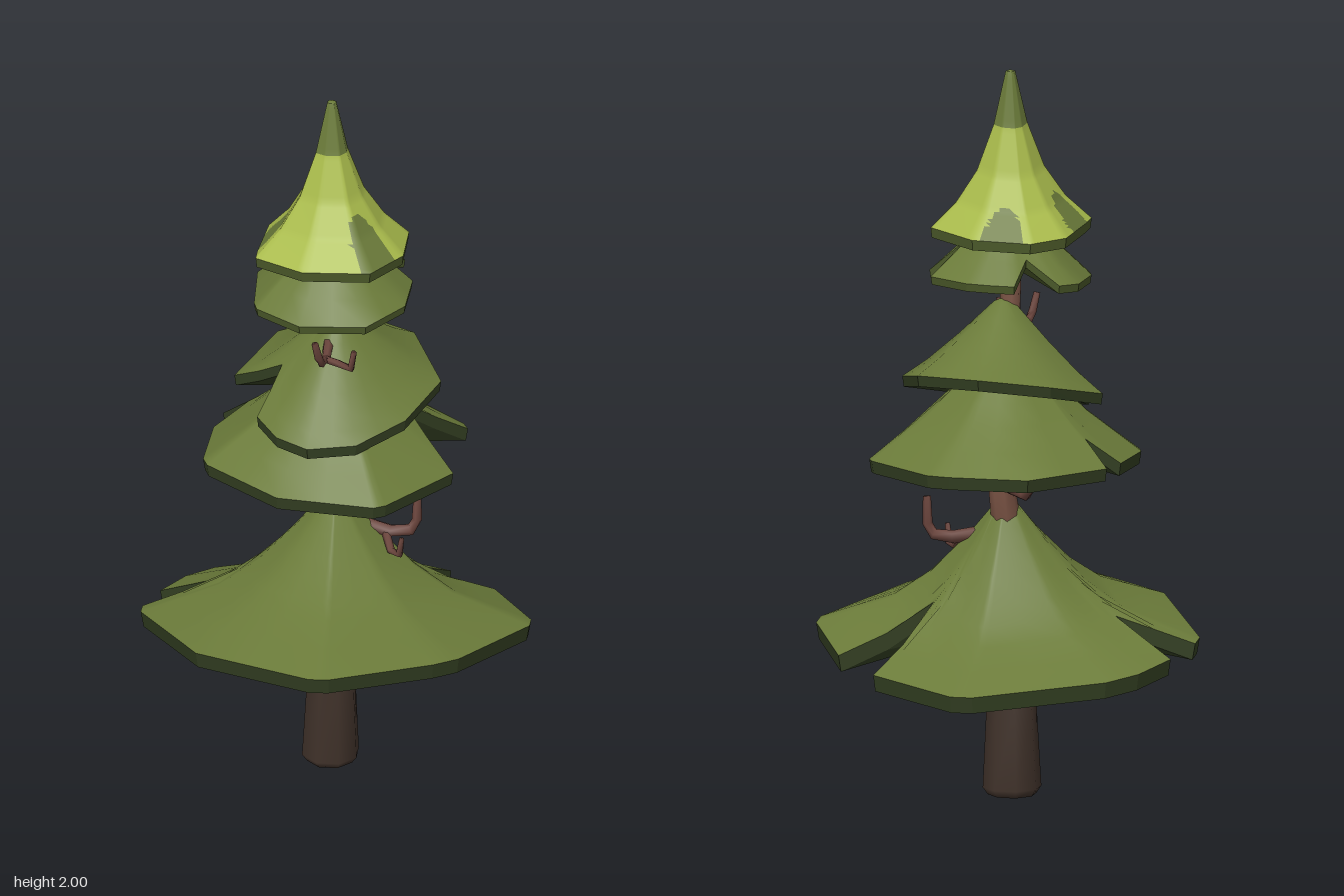
import * as THREE from 'three';

const mat = (name, color, side = THREE.FrontSide) => {
  const m = new THREE.MeshStandardMaterial({ color, side });
  m.name = name;
  return m;
};

// Piecewise-linear lookup in a [t, height] profile
function heightAt(profile, t) {
  for (let i = 1; i < profile.length; i++) {
    const [t0, h0] = profile[i - 1], [t1, h1] = profile[i];
    if (t <= t1) return h0 + (h1 - h0) * (t - t0) / (t1 - t0);
  }
  return 0;
}

// Insert n - 1 points between neighbours of a list of equal-length tuples
function subdivide(list, n, closed) {
  const out = [];
  const count = closed ? list.length : list.length - 1;
  for (let i = 0; i < count; i++) {
    const a = list[i], b = list[(i + 1) % list.length];
    for (let k = 0; k < n; k++) out.push(a.map((v, c) => v + (b[c] - v) * k / n));
  }
  if (!closed) out.push(list[list.length - 1]);
  return out;
}

// Foliage skirt: the outline is [x, z, reach]; reach < 1 marks the inner corner of a notch
function makeTier(name, o, topMaterials, underMaterial) {
  const group = new THREE.Group();
  group.name = name;
  const [cx, cz] = o.centre;
  const outline = subdivide(o.outline.map(([x, z, f = 1]) => [x, z, f]), o.fine, true);
  const rows = subdivide(o.profile, o.fine, false).map(p => p[0]);
  const n = outline.length;
  const point = (i, s) => {
    const [x, z, f] = outline[i % n];
    const fx = cx + (x - cx) / f, fz = cz + (z - cz) / f;
    const rim = o.rim + o.tilt[0] * fx + o.tilt[1] * fz;
    return [cx + (x - cx) * s, rim + (o.apex - rim) * heightAt(o.profile, s * f), cz + (z - cz) * s];
  };

  // Smooth upper surface, faces sorted by colour
  const pos = [], faces = topMaterials.map(() => []);
  for (const s of rows) for (let i = 0; i < n; i++) pos.push(...point(i, s));
  for (let j = 0; j < rows.length - 1; j++) {
    for (let i = 0; i < n; i++) {
      const a = j * n + i, d = j * n + (i + 1) % n, b = a + n, c = d + n;
      for (const tri of (j === 0 ? [[a, b, c]] : [[a, b, c], [a, c, d]])) {
        const mid = [0, 1, 2].map(k => tri.reduce((sum, v) => sum + pos[v * 3 + k], 0) / 3);
        faces[o.paint ? o.paint(...mid) : 0].push(...tri);
      }
    }
  }
  const top = new THREE.BufferGeometry();
  top.setAttribute('position', new THREE.Float32BufferAttribute(pos, 3));
  top.setIndex(faces.flat());
  let start = 0;
  faces.forEach((f, k) => { top.addGroup(start, f.length, k); start += f.length; });
  top.computeVertexNormals();
  const topMesh = new THREE.Mesh(top, topMaterials);
  topMesh.name = name + 'Needles';

  // Flat rim and underside
  const under = [];
  const lower = i => { const p = point(i, 0.985); p[1] = point(i, 1)[1] - o.thick; return p; };
  const hub = [cx, o.rim + (o.apex - o.rim) * 0.2 - o.thick, cz];
  for (let i = 0; i < n; i++) {
    const a = point(i, 1), d = point(i + 1, 1), b = lower(i), c = lower(i + 1);
    under.push(...a, ...b, ...c, ...a, ...c, ...d, ...c, ...b, ...hub);
  }
  const underGeo = new THREE.BufferGeometry();
  underGeo.setAttribute('position', new THREE.Float32BufferAttribute(under, 3));
  underGeo.computeVertexNormals();
  const underMesh = new THREE.Mesh(underGeo, underMaterial);
  underMesh.name = name + 'Underside';
  group.add(topMesh, underMesh);
  return group;
}

// Tapered limb through [x, y, z, radius] sections, closed at both ends
function makeLimb(name, sections, sides, material) {
  const pts = sections.map(s => new THREE.Vector3(s[0], s[1], s[2]));
  const pos = [], idx = [];
  const first = pts[1].clone().sub(pts[0]).normalize();
  const ref = Math.abs(first.z) < 0.8 ? new THREE.Vector3(0, 0, 1) : new THREE.Vector3(1, 0, 0);
  pts.forEach((p, j) => {
    const dir = pts[Math.min(j + 1, pts.length - 1)].clone().sub(pts[Math.max(j - 1, 0)]).normalize();
    const u = ref.clone().addScaledVector(dir, -ref.dot(dir)).normalize();
    const v = dir.clone().cross(u);
    for (let i = 0; i < sides; i++) {
      const a = (i + 0.5) / sides * Math.PI * 2, r = sections[j][3];
      pos.push(...p.clone().addScaledVector(u, Math.cos(a) * r).addScaledVector(v, Math.sin(a) * r).toArray());
    }
  });
  const last = (pts.length - 1) * sides;
  for (let i = 0; i < sides; i++) {
    const k = (i + 1) % sides;
    for (let j = 0; j < last; j += sides) idx.push(j + i, j + k, j + sides + k, j + i, j + sides + k, j + sides + i);
    if (i > 0 && i < sides - 1) idx.push(0, i + 1, i, last, last + i, last + i + 1);
  }
  const g = new THREE.BufferGeometry();
  g.setAttribute('position', new THREE.Float32BufferAttribute(pos, 3));
  g.setIndex(idx);
  g.computeVertexNormals();
  const mesh = new THREE.Mesh(g, material);
  mesh.name = name;
  return mesh;
}

export function createModel() {
  const tree = new THREE.Group();
  tree.name = 'pineTree';
  const leaf = mat('needleGreen', 0x6b7b3a, THREE.DoubleSide);
  const lime = mat('limeGreen', 0xaabc4c, THREE.DoubleSide);
  const shade = mat('deepGreen', 0x333f22);
  const rimGreen = mat('rimGreen', 0x4c5a2a);
  const darkBark = mat('darkBark', 0x40322a);
  const bark = mat('bark', 0x7a5344);
  const twig = mat('twigBrown', 0x6a443c);

  // Trunk
  tree.add(makeLimb('lowerTrunk', [
    [-0.015, 0, -0.015, 0.066], [-0.015, 0.02, -0.015, 0.08], [-0.012, 0.25, -0.015, 0.068],
    [-0.005, 0.45, -0.01, 0.052], [-0.01, 0.65, -0.025, 0.045]], 8, darkBark));
  tree.add(makeLimb('upperTrunk', [
    [-0.01, 0.64, -0.025, 0.043], [-0.02, 0.78, -0.04, 0.039], [-0.035, 0.9, -0.065, 0.035],
    [-0.01, 1.1, -0.03, 0.031], [-0.003, 1.4, -0.012, 0.028], [-0.003, 1.52, -0.012, 0.026]], 8, bark));

  // Bare branches
  const branches = {
    leftBackBranch: [[-0.01, 0.73, -0.04, 0.022], [0.1, 0.7, -0.13, 0.018], [0.138, 0.705, -0.17, 0.016], [0.146, 0.735, -0.185, 0.014], [0.146, 0.81, -0.187, 0.011]],
    leftBackTwig: [[0.09, 0.7, -0.12, 0.012], [0.14, 0.665, -0.1, 0.011], [0.175, 0.668, -0.1, 0.01], [0.185, 0.72, -0.1, 0.007]],
    rightBranch: [[-0.03, 0.885, -0.06, 0.022], [-0.08, 0.862, -0.062, 0.018], [-0.18, 0.86, -0.07, 0.016], [-0.2, 0.88, -0.07, 0.014], [-0.218, 0.93, -0.07, 0.011]],
    frontBranch: [[0, 1.3, 0, 0.016], [0.06, 1.275, 0.06, 0.013], [0.083, 1.278, 0.095, 0.012], [0.088, 1.3, 0.11, 0.011], [0.09, 1.35, 0.125, 0.009]],
    frontTwig: [[0.06, 1.275, 0.07, 0.011], [0.1, 1.272, 0.055, 0.011], [0.152, 1.275, 0.05, 0.01], [0.165, 1.33, 0.05, 0.008]],
  };
  for (const [name, s] of Object.entries(branches)) tree.add(makeLimb(name, s, 6, twig));

  // Foliage tiers, bottom to top
  tree.add(makeTier('bottomTier', {
    centre: [-0.01, -0.03], apex: 0.81, rim: 0.445, tilt: [0.11, 0.1], thick: 0.045, fine: 2,
    profile: [[0, 1], [0.06, 0.98], [0.2, 0.73], [0.4, 0.43], [0.6, 0.22], [1, 0]],
    outline: [[-0.075, -0.485], [-0.34, -0.4], [-0.38, -0.355], [-0.49, 0], [-0.485, 0.105], [-0.435, 0.235],
      [-0.25, 0.17, 0.6], [-0.37, 0.35], [-0.335, 0.385], [0.017, 0.48], [0.37, 0.375], [0.405, 0.335],
      [0.485, 0.035], [0.49, -0.05], [0.4, -0.37], [0.365, -0.405], [0.11, -0.485], [0.01, -0.245, 0.46]],
  }, [leaf], shade));
  tree.add(makeTier('secondTier', {
    centre: [0, -0.02], apex: 1.25, rim: 0.94, tilt: [-0.02, 0], thick: 0.035, fine: 2,
    profile: [[0, 1], [0.1, 0.95], [0.3, 0.7], [0.6, 0.36], [1, 0]],
    outline: [[0.125, -0.38], [0.095, -0.39], [-0.165, -0.37], [-0.22, -0.335], [-0.38, -0.18], [-0.35, 0.085],
      [-0.26, 0.07, 0.75], [-0.305, 0.155], [-0.185, 0.29], [-0.15, 0.305], [0.11, 0.275], [0.315, 0.105],
      [0.325, 0.07], [0.295, -0.19], [0.115, -0.165, 0.5]],
  }, [leaf], shade));
  tree.add(makeTier('middleTier', {
    centre: [0, -0.03], apex: 1.37, rim: 1.12, tilt: [-0.15, -0.2], thick: 0.03, fine: 2,
    profile: [[0, 1], [0.1, 0.95], [0.45, 0.54], [0.75, 0.22], [1, 0]],
    outline: [[-0.03, -0.32], [-0.225, -0.245], [-0.29, -0.055], [-0.235, 0.14], [-0.08, 0.1, 0.58], [-0.065, 0.2],
      [0.035, 0.215], [0.13, 0.185], [0.21, 0.08], [0.225, -0.08], [0.17, -0.25]],
  }, [leaf], shade));
  tree.add(makeTier('fourthTier', {
    centre: [-0.005, -0.015], apex: 1.66, rim: 1.433, tilt: [-0.02, -0.06], thick: 0.022, fine: 2,
    profile: [[0, 1], [0.15, 0.85], [0.5, 0.46], [1, 0]],
    outline: [[0.01, -0.255], [-0.12, -0.22], [-0.17, -0.17], [-0.205, -0.12], [-0.15, -0.05, 0.7], [-0.225, 0.01],
      [-0.21, 0.08], [-0.09, 0.19], [-0.06, 0.205], [0.09, 0.18], [0.215, 0.05], [0.2, -0.1], [0.11, -0.2],
      [0.03, -0.13, 0.55]],
  }, [leaf], rimGreen));

  // Lime crown with a green tip and three green tongues rising from the rim
  const tongues = [0.05, 2.24, -2.47];
  tree.add(makeTier('crown', {
    centre: [-0.018, -0.022], apex: 2, rim: 1.572, tilt: [0.05, 0.03], thick: 0.028, fine: 8,
    profile: [[0, 1], [0.06, 0.99], [0.21, 0.65], [0.42, 0.36], [0.68, 0.16], [1, 0]],
    outline: [[0.07, -0.22], [-0.1, -0.19], [-0.215, -0.075], [-0.21, 0.04], [-0.1, 0.17], [-0.065, 0.205],
      [0.09, 0.17], [0.215, 0.035], [0.18, -0.11]],
    paint: (x, y, z) => {
      if (y > 1.85) return 1;
      const dx = x + 0.018, dz = z + 0.022, r = Math.hypot(dx, dz), a = Math.atan2(dz, dx);
      return tongues.some(t => Math.cos(a - t) > 0 &&
        ((0.21 - Math.min(r, 0.21)) / 0.095) ** 2 + (r * Math.sin(a - t) / 0.057) ** 2 < 1) ? 1 : 0;
    },
  }, [lime, leaf], rimGreen));
  return tree;
}
